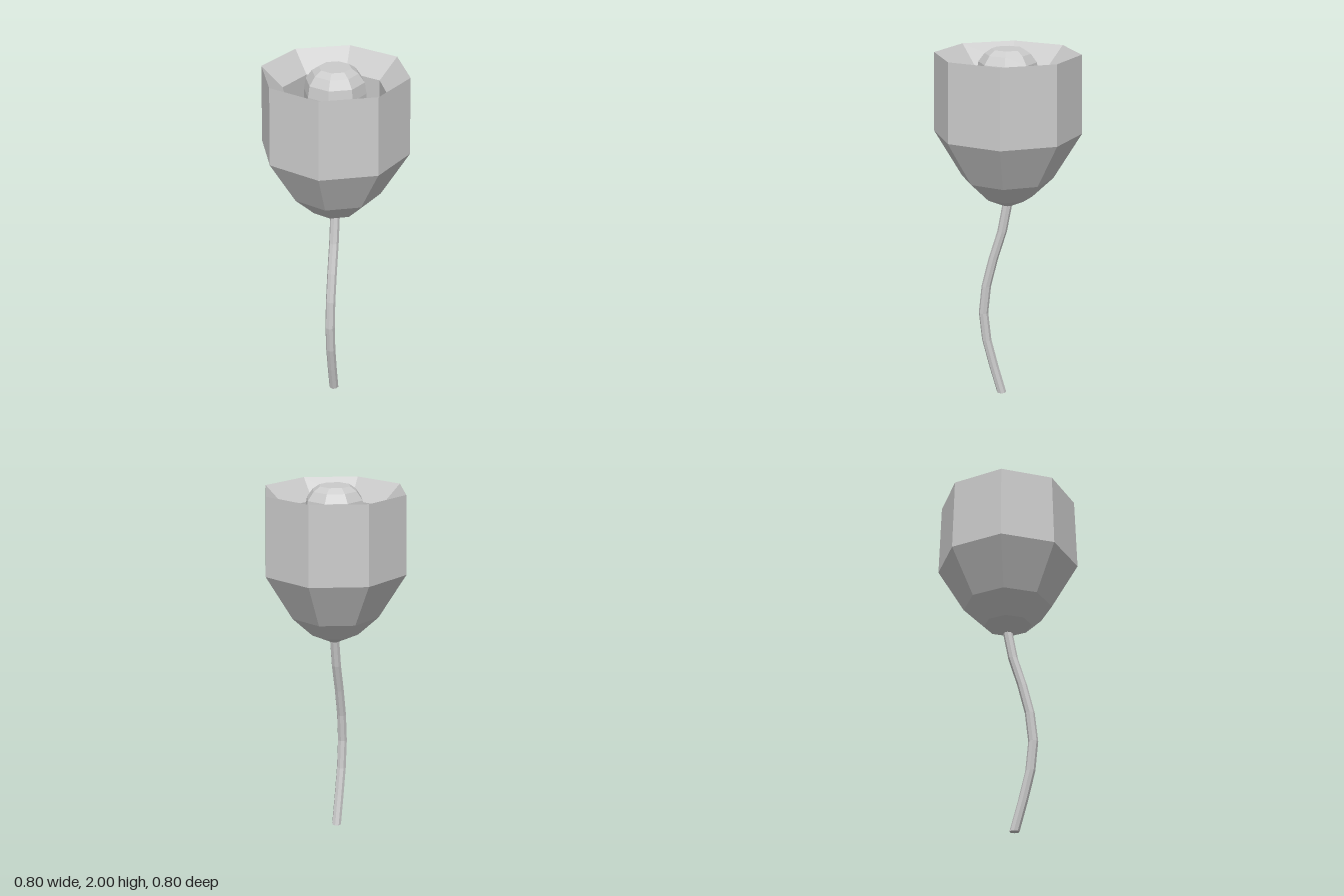
import * as THREE from 'three';

const SIDES = 8;

function material(side = THREE.FrontSide) {
  return new THREE.MeshStandardMaterial({ color: 0xcccccc, flatShading: true, side });
}

// Faceted body of revolution from [radius, height] pairs
function turned(name, profile) {
  const points = profile.map(([r, y]) => new THREE.Vector2(r, y));
  const mesh = new THREE.Mesh(new THREE.LatheGeometry(points, SIDES), material(THREE.DoubleSide));
  mesh.name = name;
  return mesh;
}

// Upright cylinder whose rings are shifted along z to follow a curve
function makeStem() {
  const height = 1.15;
  const offsets = [0.035, 0.08, 0.12, 0.137, 0.12, 0.08, 0.03, 0];
  const steps = offsets.length - 1;
  const geometry = new THREE.CylinderGeometry(0.027, 0.027, height, SIDES, steps);
  geometry.translate(0, height / 2, 0);
  const position = geometry.attributes.position;
  for (let i = 0; i < position.count; i++) {
    const ring = Math.round((position.getY(i) / height) * steps);
    position.setZ(i, position.getZ(i) + offsets[ring]);
  }
  geometry.computeVertexNormals();
  const mesh = new THREE.Mesh(geometry, material());
  mesh.name = 'stem';
  return mesh;
}

export function createModel() {
  const model = new THREE.Group();
  model.name = 'flower';

  // Outer petals, sloping rim, inner wall and floor
  model.add(turned('petalCup', [
    [0, 1.14], [0.03, 1.14], [0.135, 1.19], [0.25, 1.3], [0.4, 1.55],
    [0.39, 1.975], [0.28, 1.865], [0.28, 1.6], [0, 1.6],
  ]));

  // Rounded bud in the middle of the cup
  model.add(turned('centreBud', [
    [0.14, 1.6], [0.165, 1.78], [0.165, 1.87], [0.155, 1.93],
    [0.122, 1.975], [0.085, 2], [0, 2],
  ]));

  model.add(makeStem());
  return model;
}
